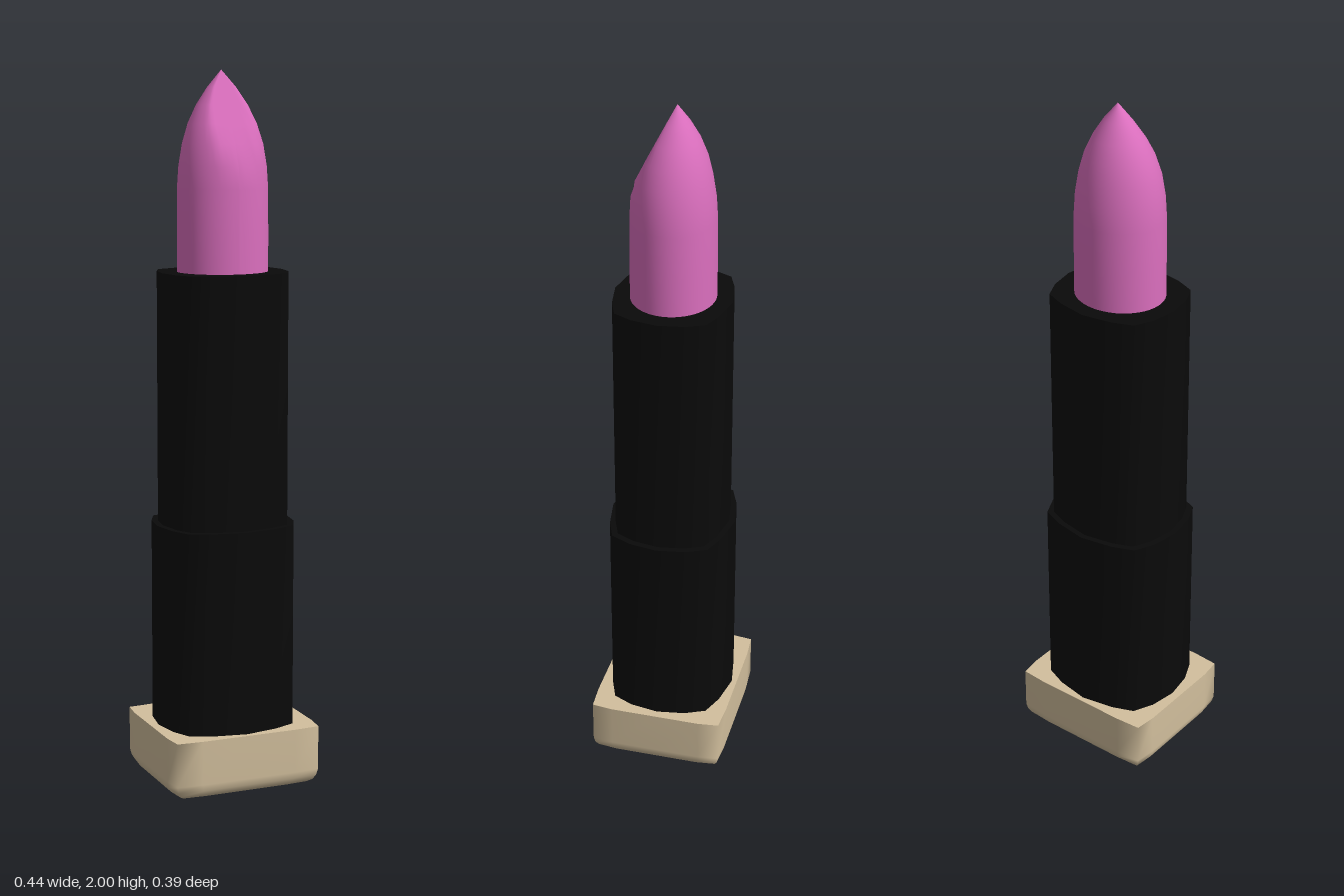
import * as THREE from 'three';

const material = (color) => new THREE.MeshStandardMaterial({ color });

// Mirror one quadrant (from +x round to +z) into a closed outline
function mirrorOutline(quarter) {
  const half = [...quarter, ...quarter.map(([x, z]) => [-x, z]).reverse()];
  const all = [...half, ...half.map(([x, z]) => [x, -z]).reverse()];
  return all.filter(([x, z], i) => {
    const [px, pz] = all[(i + all.length - 1) % all.length];
    return Math.hypot(x - px, z - pz) > 1e-6;
  });
}

// Stack scaled copies of an outline; rows are [y, scale], with flat caps at both ends
function loft(name, outline, rows, mat) {
  const n = outline.length, pos = [], index = [];
  const ring = ([y, s]) => outline.forEach(([x, z]) => pos.push(x * s, y, z * s));
  rows.forEach(ring);
  for (let r = 0; r < rows.length - 1; r++) {
    for (let i = 0; i < n; i++) {
      const a = r * n + i, b = r * n + (i + 1) % n;
      index.push(a, a + n, b, b, a + n, b + n);
    }
  }
  for (const [row, top] of [[rows[0], false], [rows[rows.length - 1], true]]) {
    const start = pos.length / 3;
    ring(row);
    pos.push(0, row[0], 0);
    for (let i = 0; i < n; i++) {
      const a = start + i, b = start + (i + 1) % n;
      index.push(start + n, top ? b : a, top ? a : b);
    }
  }
  const geometry = new THREE.BufferGeometry();
  geometry.setAttribute('position', new THREE.Float32BufferAttribute(pos, 3));
  geometry.setIndex(index);
  geometry.computeVertexNormals();
  const mesh = new THREE.Mesh(geometry, mat);
  mesh.name = name;
  return mesh;
}

// Oval bullet with a pointed tip and a slanted flat on its front
function bullet() {
  const profile = [[0.128, 1.42], [0.128, 1.55], [0.127, 1.68], [0.123, 1.74], [0.113, 1.8],
    [0.096, 1.855], [0.072, 1.905], [0.04, 1.953], [0, 2]];
  const geometry = new THREE.LatheGeometry(profile.map(([x, y]) => new THREE.Vector2(x, y)), 48);
  const p = geometry.attributes.position;
  for (let i = 0; i < p.count; i++) {
    const y = p.getY(i);
    const lean = -0.01 * Math.max(0, (y - 1.8) / 0.2);
    const z = p.getZ(i) * 0.915 + lean;
    p.setZ(i, Math.min(z, 0.5 * (2 - y) - 0.01));
  }
  geometry.computeVertexNormals();
  const mesh = new THREE.Mesh(geometry, material(0xdb6fbe));
  mesh.name = 'lipstickBullet';
  return mesh;
}

export function createModel() {
  const group = new THREE.Group();
  group.name = 'lipstick';
  const black = material(0x0a0a0a);
  const barrel = mirrorOutline([[0.197, 0], [0.184, 0.08], [0.157, 0.138], [0.094, 0.163], [0, 0.18]]);
  const square = mirrorOutline([[0.221, 0], [0.221, 0.13], [0.214, 0.19], [0.14, 0.195], [0, 0.195]]);

  // Base block with a rounded underside
  group.add(loft('base', square,
    [[0, 0.8], [0.004, 0.88], [0.012, 0.94], [0.026, 0.98], [0.045, 1], [0.17, 1]], material(0xd2bf9d)));
  // Stepped barrel
  group.add(loft('lowerBarrel', barrel, [[0.17, 1], [0.745, 1]], black));
  group.add(loft('upperBarrel', barrel, [[0.745, 0.91], [1.45, 0.91]], black));
  group.add(bullet());
  return group;
}
